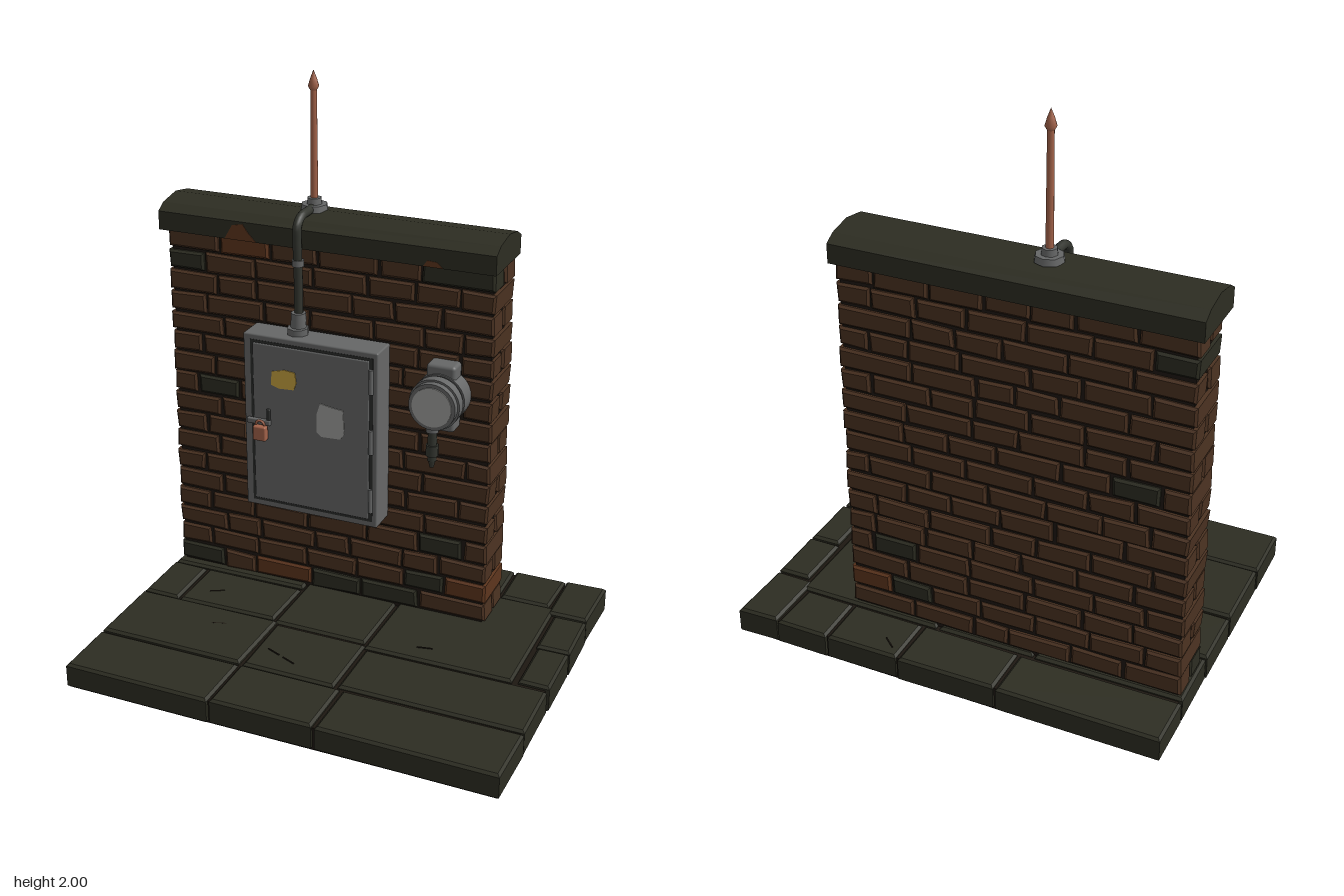
import * as THREE from 'three';
import { mergeGeometries } from 'three/addons/utils/BufferGeometryUtils.js';
import { RoundedBoxGeometry } from 'three/addons/geometries/RoundedBoxGeometry.js';

const mat = (name, color) => {
  const m = new THREE.MeshStandardMaterial({ color });
  m.name = name;
  return m;
};
const M = {
  brick: mat('brown brick', 0x4b3221),
  rust: mat('rust brick', 0x5e361e),
  mortar: mat('dark mortar', 0x1d1711),
  stone: mat('mossy stone', 0x2d2d22),
  steel: mat('grey steel', 0x666767),
  pipe: mat('dark pipe', 0x33352f),
  groove: mat('groove', 0x2c2d2c),
  pale: mat('pale glass and paper', 0xa1a19e),
  yellow: mat('yellow sticker', 0xc9a340),
  copper: mat('copper', 0xa3634a),
};

let seed = 11;
const rand = () => (seed = (seed * 16807) % 2147483647) / 2147483647;
const jit = (a) => (rand() * 2 - 1) * a;

// Bevelled block with slightly uneven corners, from z = 0 to z = depth
function block(x0, x1, y0, y1, depth, bevel, wobble) {
  const pts = [[x0 + bevel, y0 + bevel], [x1 - bevel, y0 + bevel], [x1 - bevel, y1 - bevel], [x0 + bevel, y1 - bevel]]
    .map(([x, y]) => new THREE.Vector2(x + jit(wobble), y + jit(wobble)));
  return new THREE.ExtrudeGeometry(new THREE.Shape(pts), {
    depth: depth - 2 * bevel, bevelSize: bevel, bevelThickness: bevel, bevelSegments: 1,
  }).translate(0, 0, bevel);
}

export function createModel() {
  const model = new THREE.Group();
  const add = (name, geo, material, x = 0, y = 0, z = 0, parent = model) => {
    const mesh = new THREE.Mesh(geo, material);
    mesh.name = name;
    mesh.position.set(x, y, z);
    parent.add(mesh);
    return mesh;
  };
  // Box given by its extents
  const span = (name, material, x0, x1, y0, y1, z0, z1, r = 0, parent = model) => {
    const s = [x1 - x0, y1 - y0, z1 - z0];
    const geo = r ? new RoundedBoxGeometry(...s, 2, r) : new THREE.BoxGeometry(...s);
    return add(name, geo, material, (x0 + x1) / 2, (y0 + y1) / 2, (z0 + z1) / 2, parent);
  };
  const cyl = (name, material, r0, r1, h, x, y, z, sides = 20, parent = model) =>
    add(name, new THREE.CylinderGeometry(r1, r0, h, sides), material, x, y, z, parent);
  // Thin irregular plate facing front
  const plate = (name, material, pts, z, parent = model) => {
    const shape = new THREE.Shape(pts.map(([x, y]) => new THREE.Vector2(x, y)));
    return add(name, new THREE.ExtrudeGeometry(shape, { depth: 0.004, bevelEnabled: false }), material, 0, 0, z, parent);
  };

  // Paving: x0, x1, z0, z1 of each slab
  const slabs = [
    [-0.785, -0.2, -0.615, -0.41], [-0.2, 0.16, -0.615, -0.41], [0.16, 0.435, -0.615, -0.41], [0.435, 0.63, -0.615, -0.41],
    [0.63, 0.785, -0.615, -0.36], [0.655, 0.785, -0.36, -0.13], [0.665, 0.785, -0.13, 0.1],
    [-0.785, -0.25, -0.41, -0.17], [-0.25, 0.11, -0.41, 0.08], [0.11, 0.655, -0.41, 0.11],
    [-0.785, -0.64, -0.17, 0.07], [-0.64, -0.25, -0.17, 0.07],
    [-0.785, -0.235, 0.07, 0.37], [-0.235, 0.12, 0.085, 0.37], [0.12, 0.785, 0.11, 0.37],
    [-0.785, -0.235, 0.37, 0.615], [-0.235, 0.145, 0.37, 0.615], [0.145, 0.785, 0.37, 0.615],
  ];
  const g = 0.005;
  add('pavingSlabs', mergeGeometries(slabs.map(([x0, x1, z0, z1]) =>
    block(x0 + g, x1 - g, -z1 + g, -z0 - g, 0.096 + jit(0.003), 0.009, 0.003).rotateX(-Math.PI / 2).translate(0, 0.002, 0))), M.stone);
  span('pavingBed', M.mortar, -0.768, 0.768, 0, 0.085, -0.598, 0.598);

  // Scratches in the paving
  [[-0.53, -0.03, 0.5], [-0.16, 0.26, -0.4], [-0.09, 0.29, -0.4], [0.22, -0.55, -0.7], [0.31, 0.03, 0.2], [-0.42, 0.17, 0.3]]
    .forEach(([x, z, a]) => {
      add('scratch', new THREE.BoxGeometry(0.055, 0.004, 0.004), M.mortar, x, 0.0985, z).rotation.y = a;
    });

  // Brick wall: odd courses are full depth, even ones have a front and a back layer
  const X0 = -0.772, X1 = 0.45, Y0 = 0.097, rows = 17, H = (1.425 - Y0) / rows;
  const mossSpots = [[-0.65, 0.13], [-0.15, 0.13], [0.17, 0.13], [0.17, 0.21], [0.2, 0.37], [-0.66, 0.84], [0.27, 1.38], [-0.74, 1.3]];
  const rustSpots = [[-0.4, 0.13], [0.03, 0.13], [-0.47, 1.38], [0.3, 0.21]];
  const sets = { brick: [], rust: [], stone: [] };
  for (let r = 0; r < rows; r++) {
    const y0 = Y0 + r * H;
    const layers = r % 2 ? [[-0.4, -0.2]] : [[-0.3, -0.2], [-0.4, -0.3]];
    for (const [z0, z1] of layers) {
      let x = X0;
      let len = r % 2 ? 0.1 + rand() * 0.05 : 0.17 + rand() * 0.05;
      while (x < X1 - 0.01) {
        let end = x + len;
        if (X1 - end < 0.09) end = X1;
        const hit = ([sx, sy]) => sx > x && sx < end && sy > y0 && sy < y0 + H;
        const front = z1 > -0.25;
        const key = front && mossSpots.some(hit) ? 'stone' : front && rustSpots.some(hit) ? 'rust' : 'brick';
        const out = jit(0.004);
        const inner = z1 - z0 < 0.15 ? 0.004 : 0;
        sets[key].push(block(x + g, end - g, y0 + g, y0 + H - g, z1 - z0 - inner, 0.008, 0.003)
          .translate(0, 0, z0 + (front ? inner : 0) + out));
        x = end;
        len = 0.13 + rand() * 0.11;
      }
    }
  }
  for (const key in sets) add(key + 'Courses', mergeGeometries(sets[key]), M[key]);
  span('mortarCore', M.mortar, X0 + 0.015, X1 - 0.015, 0.08, 1.43, -0.388, -0.212);

  // Coping with a ridged top
  const cap = new THREE.Shape([[-0.425, 1.418], [-0.172, 1.418], [-0.172, 1.485], [-0.21, 1.508], [-0.3, 1.523], [-0.385, 1.508], [-0.425, 1.485]]
    .map(([z, y]) => new THREE.Vector2(-z, y)).reverse());
  add('coping', new THREE.ExtrudeGeometry(cap, { depth: 1.24, bevelEnabled: false }).rotateY(Math.PI / 2), M.stone, -0.787, 0, 0);
  plate('copingWornPatch', M.rust, [[-0.53, 1.419], [-0.41, 1.419], [-0.44, 1.45], [-0.46, 1.478], [-0.5, 1.47]], -0.174);
  plate('copingWornPatch', M.rust, [[0.2, 1.419], [0.27, 1.419], [0.25, 1.438], [0.215, 1.44]], -0.174);

  // Electrical cabinet
  const cabinet = new THREE.Group();
  cabinet.name = 'cabinet';
  model.add(cabinet);
  span('cabinetBody', M.steel, -0.43, 0.075, 0.455, 1.115, -0.205, -0.096, 0.006, cabinet);
  span('doorGroove', M.groove, -0.403, 0.058, 0.477, 1.095, -0.1, -0.0945, 0, cabinet);
  span('door', M.steel, -0.393, 0.045, 0.487, 1.085, -0.1, -0.089, 0.004, cabinet);
  for (const y of [0.56, 0.785, 1.01])
    cyl('hinge', M.steel, 0.008, 0.008, 0.09, 0.052, y, -0.091, 10, cabinet);
  plate('yellowSticker', M.yellow, [[-0.322, 0.94], [-0.29, 0.93], [-0.235, 0.933], [-0.225, 0.96], [-0.23, 0.998], [-0.27, 1.002], [-0.318, 0.99]], -0.09, cabinet);
  plate('paperLabel', M.pale, [[-0.15, 0.79], [-0.13, 0.775], [-0.06, 0.778], [-0.045, 0.8], [-0.05, 0.888], [-0.09, 0.892], [-0.135, 0.9], [-0.148, 0.86]], -0.09, cabinet);

  // Hasp and padlock
  span('hasp', M.steel, -0.415, -0.325, 0.783, 0.803, -0.092, -0.076, 0.004, cabinet);
  span('haspStaple', M.groove, -0.34, -0.326, 0.795, 0.845, -0.092, -0.08, 0.004, cabinet);
  span('padlock', M.copper, -0.385, -0.335, 0.727, 0.782, -0.086, -0.06, 0.006, cabinet);
  add('padlockShackle', new THREE.TorusGeometry(0.016, 0.0045, 8, 16, Math.PI), M.copper, -0.36, 0.785, -0.072, cabinet);

  // Conduit from the cabinet over the coping
  const path = new THREE.CatmullRomCurve3([[1.11, -0.168], [1.3, -0.168], [1.45, -0.162], [1.5, -0.165], [1.525, -0.195], [1.528, -0.25], [1.53, -0.3]]
    .map(([y, z]) => new THREE.Vector3(-0.25, y, z)));
  add('conduit', new THREE.TubeGeometry(path, 40, 0.0155, 12), M.pipe);
  cyl('conduitFlange', M.steel, 0.038, 0.038, 0.025, -0.25, 1.126, -0.16, 8);
  cyl('conduitNut', M.steel, 0.028, 0.026, 0.055, -0.25, 1.163, -0.166, 12);
  cyl('conduitCollar', M.steel, 0.021, 0.021, 0.022, -0.25, 1.37, -0.166, 14);

  // Lightning rod
  cyl('rodFlange', M.steel, 0.05, 0.046, 0.022, -0.25, 1.53, -0.305, 8);
  cyl('rodNut', M.steel, 0.028, 0.025, 0.025, -0.25, 1.55, -0.305, 8);
  cyl('rod', M.copper, 0.013, 0.011, 0.42, -0.25, 1.74, -0.305, 12);
  add('rodTip', new THREE.LatheGeometry([[0.01, 1.93], [0.019, 1.945], [0.011, 1.972], [0, 2]]
    .map(([r, y]) => new THREE.Vector2(r, y)), 12), M.copper, -0.25, 0, -0.305);

  // Round meter: x, y centre and stacked discs of [radius, back z, front z]
  const mx = 0.282, my = 0.97;
  span('meterBackPlate', M.steel, mx - 0.052, mx + 0.052, 0.85, 1.09, -0.21, -0.14, 0.012);
  [['meterBody', M.steel, 0.09, -0.2, -0.135], ['meterNeck', M.groove, 0.084, -0.135, -0.12],
    ['meterRing', M.steel, 0.09, -0.12, -0.085], ['meterRim', M.steel, 0.083, -0.085, -0.062],
    ['meterGlass', M.pale, 0.07, -0.07, -0.058]].forEach(([name, material, r, z0, z1]) => {
    cyl(name, material, r, r, z1 - z0, mx, my, (z0 + z1) / 2, 32).rotation.x = Math.PI / 2;
  });

  // Cable outlet below the meter
  cyl('outletPipe', M.pipe, 0.016, 0.016, 0.15, 0.243, 0.79, -0.182, 12);
  cyl('outletCollar', M.steel, 0.022, 0.022, 0.022, 0.243, 0.835, -0.182, 12);
  cyl('outletNut', M.pipe, 0.022, 0.022, 0.04, 0.243, 0.755, -0.182, 12);
  cyl('outletEnd', M.pipe, 0.008, 0.015, 0.04, 0.243, 0.71, -0.182, 12);

  return model;
}
